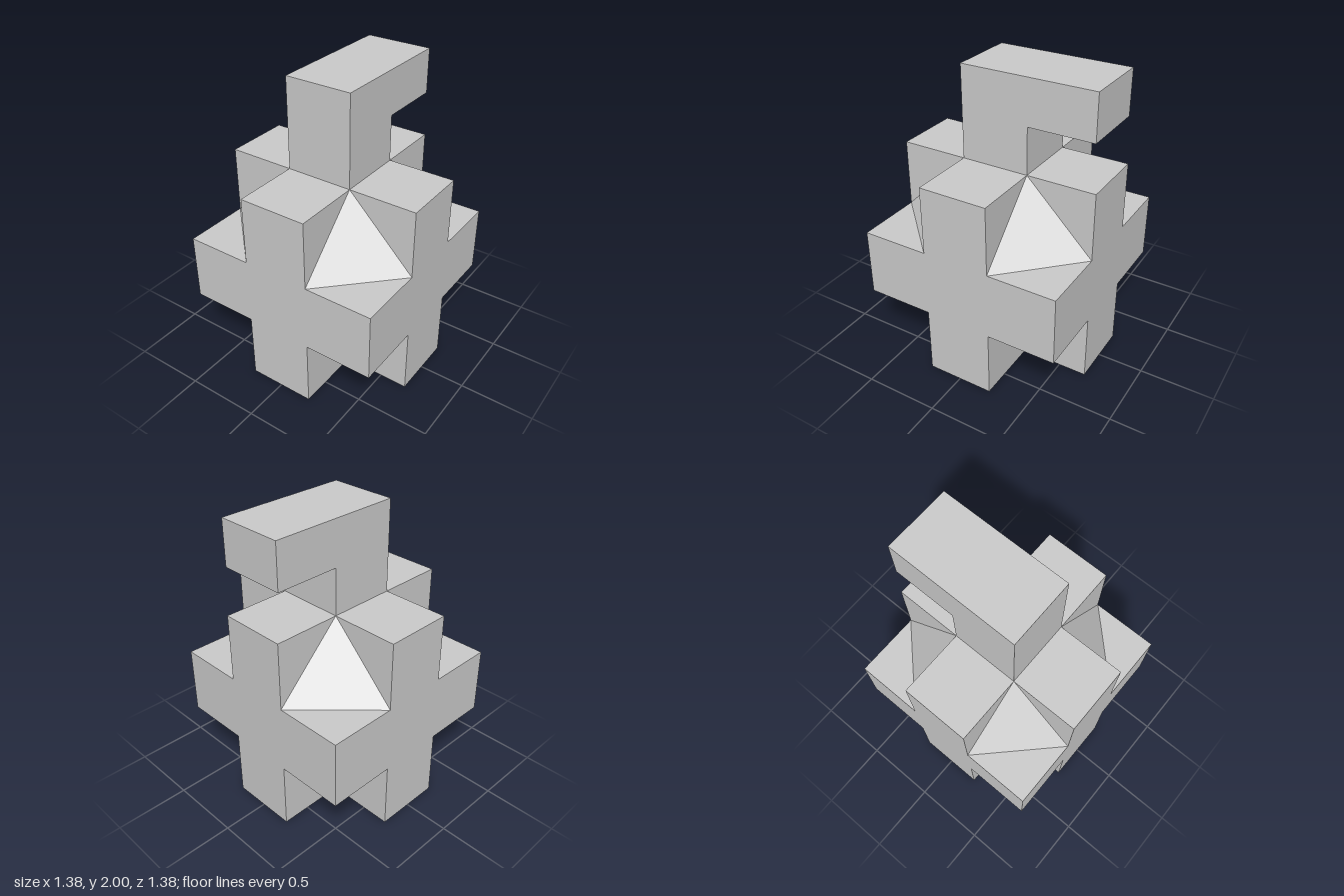
import * as THREE from 'three';
import { mergeGeometries } from 'three/addons/utils/BufferGeometryUtils.js';

const CELL = 0.46;          // body is a 3 x 3 x 3 block of cells with cut corners
const IN = CELL / 2;
const OUT = CELL * 1.5;

const material = new THREE.MeshStandardMaterial({ color: 0xcccccc, flatShading: true });

function addMesh(parent, name, geometry) {
  const mesh = new THREE.Mesh(geometry, material);
  mesh.name = name;
  parent.add(mesh);
  return mesh;
}

// Cross-shaped face of five square cells, facing +z
function crossFace(withCentre) {
  const cells = [[1, 0], [-1, 0], [0, 1], [0, -1]];
  if (withCentre) cells.push([0, 0]);
  return mergeGeometries(cells.map(([x, y]) =>
    new THREE.PlaneGeometry(CELL, CELL).translate(x * CELL, y * CELL, OUT)));
}

// Notched corner: a sloped triangle and the three half-square walls around it
function cornerNotch(sx, sy, sz) {
  const a = [1, 0, 0], b = [0, 1, 0], c = [0, 0, 1];
  const triangles = [
    [a, b, c],
    [a, [1, 1, 0], b],
    [b, [0, 1, 1], c],
    [c, [1, 0, 1], a],
  ];
  const mirrored = sx * sy * sz < 0;
  const positions = [];
  for (const tri of triangles) {
    for (const p of mirrored ? [...tri].reverse() : tri) {
      positions.push(sx * (IN + p[0] * CELL), sy * (IN + p[1] * CELL), sz * (IN + p[2] * CELL));
    }
  }
  const geometry = new THREE.BufferGeometry();
  geometry.setAttribute('position', new THREE.Float32BufferAttribute(positions, 3));
  geometry.computeVertexNormals();
  return geometry;
}

export function createModel() {
  const model = new THREE.Group();
  model.name = 'notchedBlockWithHook';

  // Body
  const body = new THREE.Group();
  body.name = 'body';
  body.position.y = OUT;
  model.add(body);

  const q = Math.PI / 2;
  const sides = { frontFace: 0, leftFace: q, backFace: 2 * q, rightFace: -q };
  for (const [name, angle] of Object.entries(sides)) {
    addMesh(body, name, crossFace(true).rotateY(angle));
  }
  addMesh(body, 'topFace', crossFace(false).rotateX(-q));
  addMesh(body, 'bottomFace', crossFace(true).rotateX(q));

  for (const sx of [-1, 1]) for (const sy of [-1, 1]) for (const sz of [-1, 1]) {
    const name = (sy > 0 ? 'upper' : 'lower') + (sz > 0 ? 'Front' : 'Back') + (sx > 0 ? 'Left' : 'Right') + 'Corner';
    addMesh(body, name, cornerNotch(sx, sy, sz));
  }

  // Neck with an arm reaching out to one side
  const profile = [[-IN, 1.38], [IN, 1.38], [IN, 1.695], [0.67, 1.695], [0.67, 2], [-IN, 2]];
  const shape = new THREE.Shape(profile.map(([x, y]) => new THREE.Vector2(x, y)));
  const hook = new THREE.ExtrudeGeometry(shape, { depth: CELL, bevelEnabled: false });
  addMesh(model, 'hook', hook.translate(0, 0, -IN));

  return model;
}
